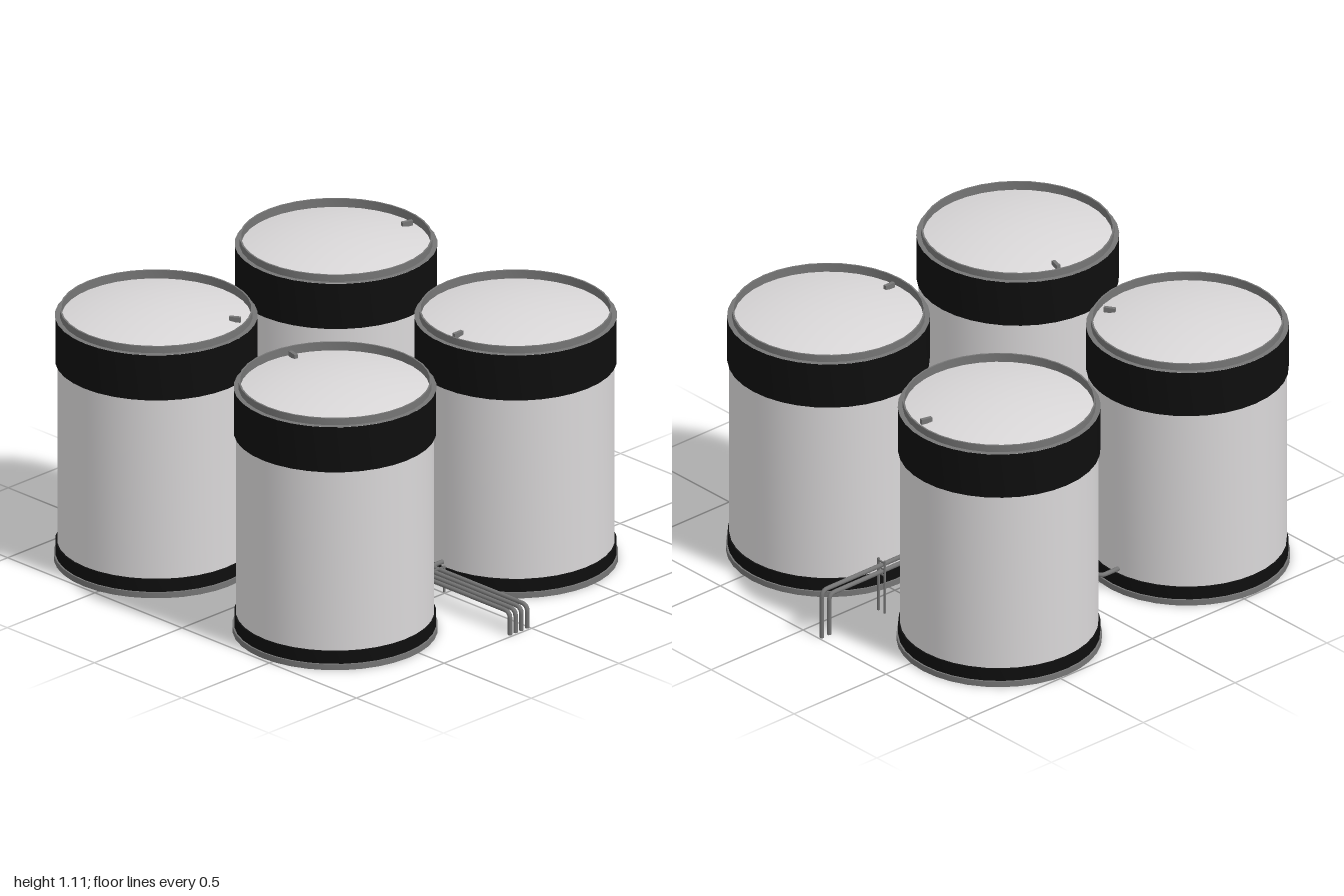
import * as THREE from 'three';
import { mergeGeometries, toCreasedNormals } from 'three/addons/utils/BufferGeometryUtils.js';

const material = (name, color) => {
  const m = new THREE.MeshStandardMaterial({ color, side: THREE.DoubleSide });
  m.name = name;
  return m;
};
const V = (p) => new THREE.Vector3(...p);

export function createModel() {
  const shell = material('pale shell', 0xd9d7d8);
  const steel = material('grey steel', 0x757575);
  const black = material('black band', 0x0e0e0e);
  const model = new THREE.Group();
  model.name = 'tankFarm';

  const add = (parent, name, geometry, mat) => {
    const mesh = new THREE.Mesh(geometry, mat);
    mesh.name = name;
    parent.add(mesh);
    return mesh;
  };

  // Turned part from [radius, height] pairs, with crisp profile corners
  const turned = (points) => toCreasedNormals(
    new THREE.LatheGeometry(points.map((p) => new THREE.Vector2(...p)), 36), 0.5);

  // Straight pipe runs joined by rounded elbows
  const pipe = (name, corners, r = 0.0095, bend = 0.03) => {
    const pts = corners.map(V);
    const parts = [];
    let from = pts[0];
    for (let i = 1; i < pts.length; i++) {
      const dir = pts[i].clone().sub(pts[i - 1]).normalize();
      const last = i === pts.length - 1;
      const to = last ? pts[i] : pts[i].clone().addScaledVector(dir, -bend);
      parts.push(new THREE.TubeGeometry(new THREE.LineCurve3(from, to), 1, r, 10));
      if (last) break;
      const next = pts[i + 1].clone().sub(pts[i]).normalize();
      const out = pts[i].clone().addScaledVector(next, bend);
      parts.push(new THREE.TubeGeometry(
        new THREE.QuadraticBezierCurve3(to, pts[i], out), 6, r, 10));
      from = out;
    }
    add(model, name, mergeGeometries(parts), steel);
  };

  const bar = (parent, name, size, pos) =>
    add(parent, name, new THREE.BoxGeometry(...size), steel).position.set(...pos);

  // Shared tank geometry
  const bodyGeo = turned([[0.402, 0.005], [0.402, 1.068]]);
  const flangeGeo = turned([[0.365, 0], [0.416, 0], [0.416, 0.025], [0.402, 0.025],
    [0.365, 0.025], [0.365, 0]]);
  const lowerBandGeo = turned([[0.409, 0.025], [0.409, 0.08], [0.402, 0.08]]);
  const upperBandGeo = turned([[0.402, 0.87], [0.41, 0.87], [0.41, 1.069]]);
  const rimGeo = turned([[0.411, 1.07], [0.391, 1.07], [0.391, 1.1], [0.384, 1.1], [0.384, 1.055]]);
  const dome = [];
  for (let i = 0; i <= 8; i++) {
    const t = 1 - i / 8;
    dome.push([0.388 * t, 1.108 - 0.046 * t * t]);
  }
  const roofGeo = turned(dome);

  // Tanks: centre x, centre z, roof vent offset x, z
  [
    ['backRightTank', -0.58, -0.455, 0.085, -0.32],
    ['backLeftTank', 0.445, -0.46, 0, 0.33],
    ['frontRightTank', -0.58, 0.57, 0.28, -0.17],
    ['frontLeftTank', 0.445, 0.57, -0.32, -0.08],
  ].forEach(([name, x, z, vx, vz]) => {
    const tank = new THREE.Group();
    tank.name = name;
    tank.position.set(x, 0, z);
    model.add(tank);
    add(tank, 'body', bodyGeo, shell);
    add(tank, 'roof', roofGeo, shell);
    add(tank, 'baseFlange', flangeGeo, steel);
    add(tank, 'lowerBand', lowerBandGeo, black);
    add(tank, 'upperBand', upperBandGeo, black);
    add(tank, 'topRim', rimGeo, steel);
    const vent = add(tank, 'roofVent', new THREE.BoxGeometry(0.015, 0.022, 0.048), steel);
    vent.position.set(vx, 1.085, vz);
    vent.rotation.y = Math.atan2(vx, vz);
  });

  // Outlet pipes sharing the middle aisle: start x, start z, run z
  [
    [-0.605, -0.06, 0.042],
    [0.43, -0.06, 0.008],
    [-0.605, 0.175, 0.075],
    [0.43, 0.175, 0.107],
  ].forEach(([x, z, run], i) => pipe('outletPipe' + (i + 1),
    [[x, 0.1, z], [x, 0.1, run], [0.983, 0.1, run], [0.983, 0, run]]));

  // Stacked pair of pipes running to the back
  [[0.215, -0.985], [0.185, -0.945]].forEach(([y, end], i) => pipe('backPipe' + (i + 1),
    [[-0.185, y, -0.43], [-0.097, y, -0.43], [-0.097, y, end], [-0.097, 0, end]]));

  // Pipe stands: two posts with crossbars along x or z
  const stand = (name, x, z, half, height, bars, alongX) => {
    const g = new THREE.Group();
    g.name = name;
    g.position.set(x, 0, z);
    if (alongX) g.rotation.y = Math.PI / 2;
    model.add(g);
    for (const s of [-1, 1]) bar(g, 'post', [0.008, height, 0.008], [0, height / 2, s * half]);
    for (const y of bars) bar(g, 'crossbar', [0.006, 0.006, 2 * half], [0, y, 0]);
  };
  stand('aisleStandRight', -0.3, 0.059, 0.036, 0.115, [0.087, 0.112], false);
  stand('aisleStandLeft', 0.49, 0.058, 0.066, 0.115, [0.087, 0.112], false);
  stand('backStand', -0.097, -0.66, 0.019, 0.24, [0.172, 0.2, 0.23], true);

  return model;
}
